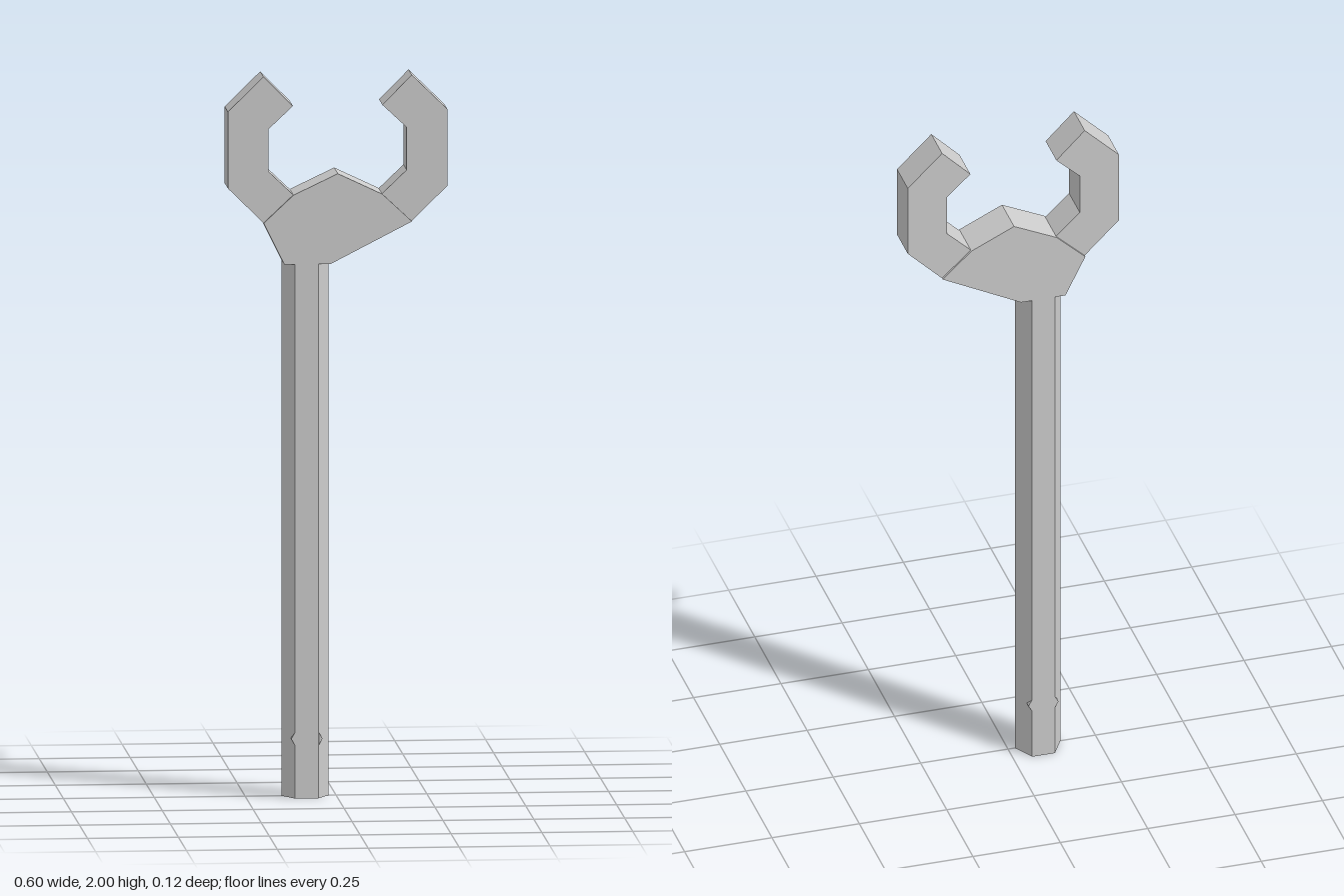
import * as THREE from 'three';

export function createModel() {
  const group = new THREE.Group();
  const steel = new THREE.MeshStandardMaterial({ color: 0xcccccc });
  steel.name = 'steel';
  steel.flatShading = true;

  // Extrudes an outline symmetrically about z = 0
  const addPlate = (name, points, halfDepth) => {
    const shape = new THREE.Shape(points.map(([x, y]) => new THREE.Vector2(x, y)));
    const geo = new THREE.ExtrudeGeometry(shape, { depth: halfDepth * 2, bevelEnabled: false });
    geo.translate(0, 0, -halfDepth);
    const mesh = new THREE.Mesh(geo, steel);
    mesh.name = name;
    group.add(mesh);
  };

  // Hexagon with corners pointing along x
  const hexagon = (cx, cy, r) => Array.from({ length: 6 }, (_, i) => {
    const a = i * Math.PI / 3;
    return [cx + r * Math.cos(a), cy + r * Math.sin(a)];
  });

  const handleX = -0.085, handleTop = 1.485;

  // Hexagonal handle, flat faces to the front and back
  const handleGeo = new THREE.CylinderGeometry(0.065, 0.065, handleTop, 6);
  handleGeo.rotateY(Math.PI / 2);
  const handle = new THREE.Mesh(handleGeo, steel);
  handle.name = 'handle';
  handle.position.set(handleX, handleTop / 2, 0);
  group.add(handle);

  // Small hexagonal pin through the handle's end
  addPlate('handlePin', hexagon(handleX, 0.165, 0.043), 0.0555);

  // Thicker neck joining the handle to the jaws
  addPlate('neck', [
    [-0.147, 1.48], [-0.02, 1.48], [0.204, 1.595], [0.122, 1.672],
    [0, 1.73], [-0.122, 1.672], [-0.204, 1.595],
  ], 0.058);

  // Mirrored hooked jaws
  const jaw = [
    [0.204, 1.595], [0.302, 1.692], [0.302, 1.904], [0.204, 2.0],
    [0.123, 1.918], [0.19, 1.855], [0.19, 1.737], [0.122, 1.672],
  ];
  for (const [name, side] of [['leftJaw', 1], ['rightJaw', -1]]) {
    addPlate(name, jaw.map(([x, y]) => [x * side, y]), 0.0515);
  }

  return group;
}
